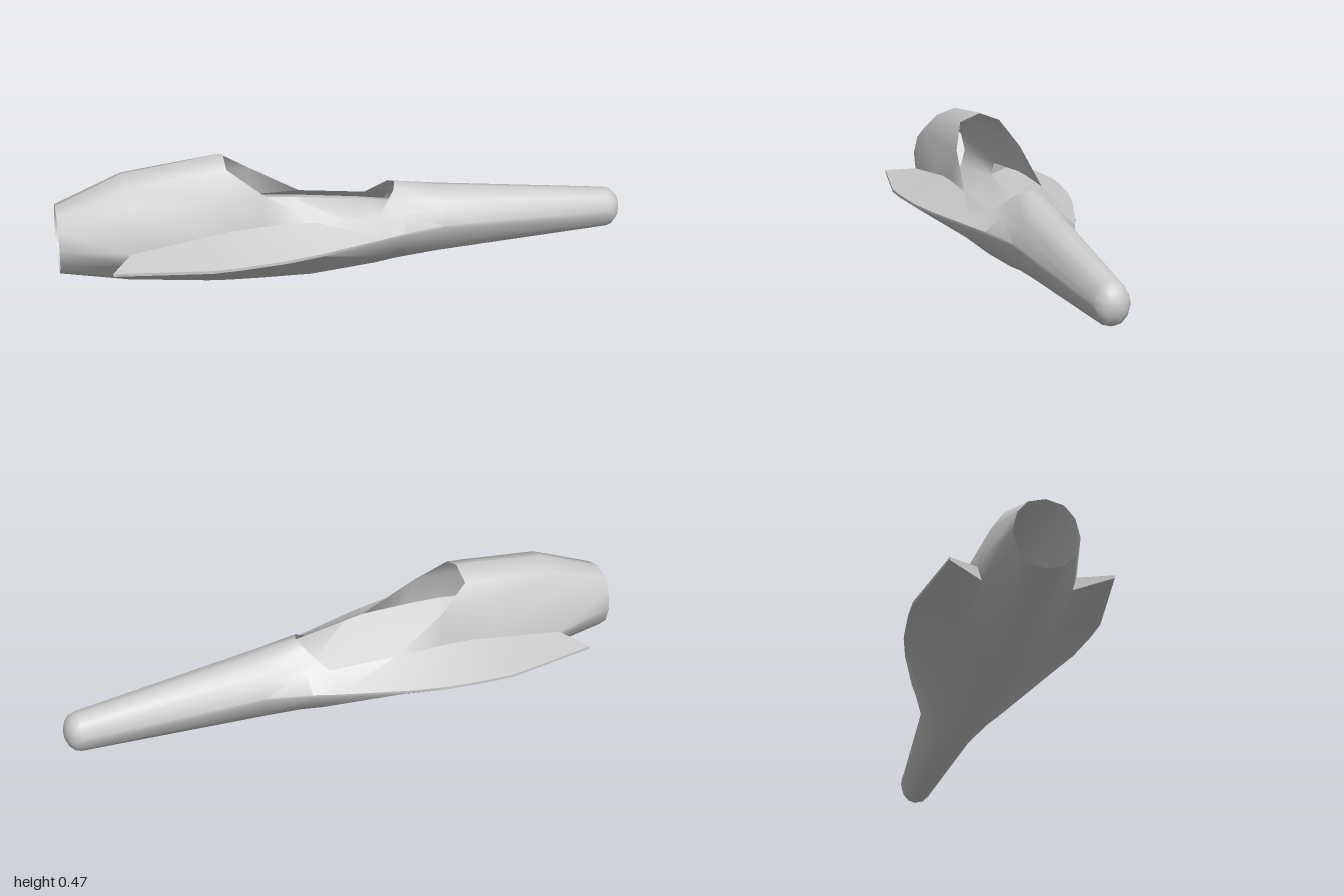
import * as THREE from 'three';
import { toCreasedNormals } from 'three/addons/utils/BufferGeometryUtils.js';

// Hull stations from tail to nose; top = null where the cockpit is open
// [x, topY, upperY, upperZ, shoulderY, shoulderZ, tipX, tipZ, lowerY, lowerZ, keelY]
const stations = [
  [-1, 0.33, 0.275, 0.09, 0.21, 0.105, -1, 0.105, 0.15, 0.09, 0.093],
  [-0.77, 0.428, 0.34, 0.115, 0.2, 0.158, -0.84, 0.26, 0.155, 0.145, 0.042],
  [-0.5, 0.463, 0.355, 0.12, 0.235, 0.145, -0.52, 0.31, 0.1, 0.15, 0.015],
  [-0.43, 0.47, 0.36, 0.12, 0.245, 0.143, -0.43, 0.307, 0.095, 0.15, 0.01],
  [-0.32, null, 0.36, 0.12, 0.25, 0.142, -0.27, 0.29, 0.09, 0.15, 0.006],
  [-0.14, null, 0.25, 0.143, 0.25, 0.143, -0.14, 0.26, 0.085, 0.14, 0],
  [0.09, null, 0.235, 0.113, 0.235, 0.113, 0.09, 0.19, 0.085, 0.115, 0.018],
  [0.17, 0.315, 0.262, 0.072, 0.235, 0.1, 0.17, 0.16, 0.09, 0.1, 0.028],
  [0.32, 0.288, 0.25, 0.07, 0.22, 0.09, 0.32, 0.11, 0.1, 0.08, 0.042],
  [0.95, 0.215, 0.196, 0.042, 0.168, 0.057, 0.95, 0.06, 0.105, 0.05, 0.073],
];
const lerp = THREE.MathUtils.lerp;

// Half cross-section, from the crown down to the keel
function halfSection([x, top, upY, upZ, shY, shZ, tipX, tipZ, lowY, lowZ, keel], i) {
  const round = x > 0.3 || x < -0.9;
  const rake = stations[i - 1]?.[1] === null && top !== null ? 1 : 0; // front cockpit rim
  const tipY = lerp(0.18, 0.145, THREE.MathUtils.clamp((x - 0.15) / 0.8, 0, 1));
  const upper = [x - 0.035 * rake, upY, upZ];
  const open = top === null;
  return [
    open ? upper : [x, top, 0],
    open ? upper : [x - 0.015 * rake, lerp(upY, top, 0.73), upZ * 0.62],
    upper,
    [x, shY, shZ],
    [tipX, tipY + 0.005, tipZ],
    [tipX, tipY - 0.005, tipZ],
    [x, lowY, lowZ],
    [x, lerp(keel, lowY, round ? 0.24 : 0.17), lowZ * (round ? 0.56 : 0.37)],
    [x, keel, 0],
  ];
}

function hullGeometry() {
  const sections = stations.map(halfSection);
  // Rounded nose cap
  const last = sections[sections.length - 1];
  for (const a of [25, 50, 72, 90]) {
    const r = THREE.MathUtils.degToRad(a), s = Math.cos(r);
    sections.push(last.map(([, y, z]) => [0.95 + 0.05 * Math.sin(r), lerp(0.145, y, s), z * s]));
  }

  const positions = [];
  const same = (p, q) => Math.hypot(p[0] - q[0], p[1] - q[1], p[2] - q[2]) < 1e-6;
  const tri = (a, b, c) => {
    if (same(a, b) || same(b, c) || same(a, c)) return;
    positions.push(...a, ...b, ...c);
    for (const p of [a, c, b]) positions.push(p[0], p[1], -p[2]); // mirrored side
  };
  const quad = (a, b, c, d) => { tri(a, b, c); tri(a, c, d); };

  for (let i = 0; i < sections.length - 1; i++) {
    const A = sections[i], B = sections[i + 1];
    const open = [i, i + 1].some((k) => stations[k]?.[1] === null);
    for (let j = 0; j < 8; j++) {
      if (open && j === 0) continue; // cockpit opening
      if (i === 0 && (j === 4 || j === 5)) continue; // no wing on the tail pipe
      const k = i === 0 && j === 3 ? 6 : j + 1;
      quad(A[j], A[k], B[k], B[j]);
    }
  }
  // Trailing edge of the wings
  const N = sections[1];
  quad(N[3], N[6], N[5], N[4]);

  const geometry = new THREE.BufferGeometry();
  geometry.setAttribute('position', new THREE.Float32BufferAttribute(positions, 3));
  return toCreasedNormals(geometry, 0.85);
}

export function createModel() {
  const group = new THREE.Group();
  group.name = 'aircraftHull';
  const material = new THREE.MeshStandardMaterial({ color: 0xcccccc, side: THREE.DoubleSide });
  // Open-ended fuselage shell with blended wings
  const fuselage = new THREE.Mesh(hullGeometry(), material);
  fuselage.name = 'fuselage';
  group.add(fuselage);
  return group;
}
